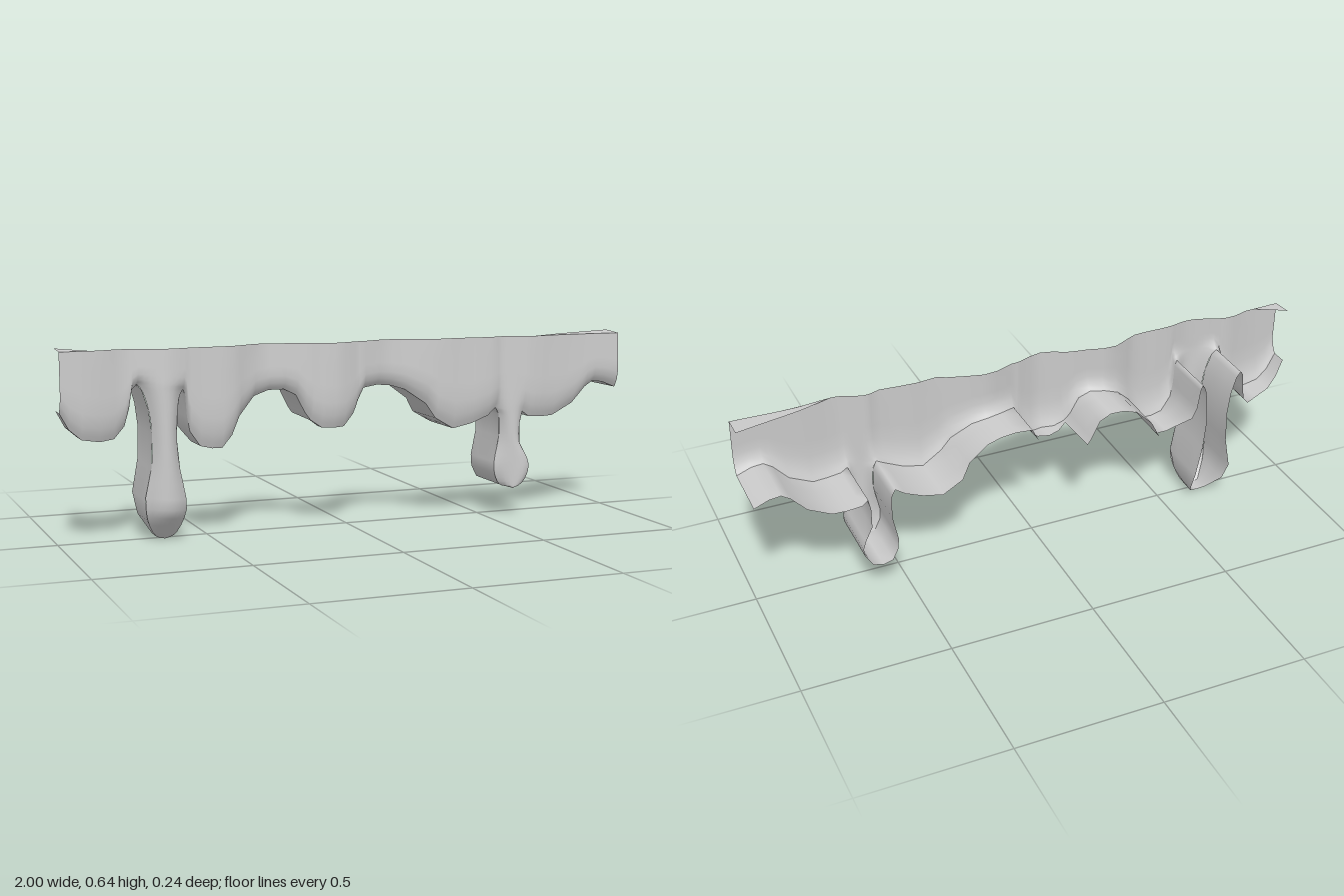
import * as THREE from 'three';
import { mergeGeometries, mergeVertices } from 'three/addons/utils/BufferGeometryUtils.js';

const TOP = 0.635;
// lower outline [x, y], split at the two hanging drips
const lobeA = [[-1, .44], [-.97, .385], [-.93, .35], [-.87, .34], [-.82, .345], [-.785, .385],
  [-.77, .44], [-.762, .5], [-.745, .52]];
const dripA = [[-.745, .52], [-.73, .5], [-.712, .44], [-.702, .36], [-.705, .25], [-.725, .14], [-.715, .07], [-.68, .01], [-.65, 0],
  [-.62, .01], [-.597, .06], [-.59, .13], [-.612, .24], [-.622, .34], [-.617, .44], [-.61, .48], [-.598, .5]];
const lobesB = [[-.598, .5], [-.59, .48], [-.585, .41], [-.575, .36], [-.54, .31], [-.5, .3], [-.465, .3], [-.43, .34], [-.4, .4],
  [-.34, .46], [-.29, .478], [-.24, .48], [-.2, .46], [-.17, .4], [-.155, .378], [-.15, .372], [-.12, .35], [-.08, .348],
  [-.04, .35], [0, .39], [.012, .415], [.017, .43], [.04, .475], [.1, .48], [.15, .475], [.2, .46], [.27, .41], [.3, .36],
  [.37, .32], [.44, .335], [.5, .36], [.535, .385]];
const dripB = [[.535, .385], [.548, .36], [.55, .28], [.532, .19], [.535, .15], [.555, .11], [.59, .1],
  [.625, .11], [.65, .15], [.654, .18], [.645, .21], [.62, .26], [.62, .33], [.628, .37]];
const lobeC = [[.628, .37], [.65, .352], [.7, .348], [.75, .35], [.83, .39], [.88, .445], [.91, .465], [.95, .46], [1, .44]];

// depth of the front skin and of the rear edge along x
const front = [[-1, .1], [-.88, .095], [-.8, .075], [-.65, .115], [-.55, .1], [-.45, .1], [-.32, .05], [-.2, .075], [-.08, .115],
  [.03, .085], [.13, .053], [.22, .07], [.32, .108], [.4, .09], [.48, .108], [.55, .09], [.65, .12], [.8, .105], [1, .11]];
const rear = [[-1, .02], [-.85, -.03], [-.745, -.11], [-.59, -.11], [-.54, -.04], [-.45, -.04], [-.43, -.12], [-.155, -.12],
  [-.15, .05], [-.08, .03], [.012, .05], [.017, -.1], [.25, -.1], [.3, -.12], [1, -.12]];

function lookup(table, x, smooth) {
  for (let i = 1; i < table.length; i++) {
    const [x0, v0] = table[i - 1], [x1, v1] = table[i];
    if (x <= x1) {
      let t = Math.max(0, (x - x0) / (x1 - x0));
      if (smooth) t = t * t * (3 - 2 * t);
      return v0 + (v1 - v0) * t;
    }
  }
  return table[table.length - 1][1];
}
// long drip narrows in depth towards its tip
const taper = (x, y) => (x < 0 ? Math.min(1, .2 + y / .1 * .8) : 1);
const skinZ = (x, y) => lookup(front, x, true) * taper(x, y);
const edgeZ = (x, y) => (lookup(front, x, true) - .025) * taper(x, y);
const rearZ = (x, y) => lookup(rear, x) * taper(x, y);

// surface through rows of points
function loft(rows) {
  const n = rows[0].length, idx = [];
  for (let r = 0; r < rows.length - 1; r++) for (let c = 0; c < n - 1; c++) {
    const a = r * n + c, b = a + 1, d = a + n, e = d + 1;
    idx.push(a, b, e, a, e, d);
  }
  const g = new THREE.BufferGeometry();
  g.setAttribute('position', new THREE.Float32BufferAttribute(rows.flat(2), 3));
  g.setIndex(idx);
  return g;
}

// rounded cross-section of a drip between two outline points
const COLS = 8;
function section([x0, y0], [x1, y1]) {
  return Array.from({ length: COLS + 1 }, (_, j) => {
    const s = j / COLS, x = x0 + (x1 - x0) * s, y = y0 + (y1 - y0) * s;
    const round = Math.pow(Math.abs(2 * s - 1), 2.5);
    return [x, y, skinZ(x, y) + (edgeZ(x, y) - skinZ(x, y)) * round];
  });
}

// skin of a hanging drip: matching points down its two sides
function dripSkin(outline) {
  let tip = 0;
  outline.forEach((p, i) => { if (p[1] < outline[tip][1]) tip = i; });
  const side = (pts) => new THREE.CatmullRomCurve3(pts.map(([x, y]) => new THREE.Vector3(x, y, 0)));
  const left = side(outline.slice(0, tip + 1)), right = side(outline.slice(tip).reverse());
  const rows = [];
  for (let i = 0; i <= 18; i++) {
    const a = left.getPoint(i / 18), b = right.getPoint(i / 18);
    rows.unshift(section([a.x, a.y], [b.x, b.y]));
  }
  return loft(rows);
}

export function createModel() {
  const group = new THREE.Group();
  const material = new THREE.MeshStandardMaterial({ color: 0xcccccc, side: THREE.DoubleSide });
  const add = (name, geo) => {
    geo.computeVertexNormals();
    const mesh = new THREE.Mesh(geo, material);
    mesh.name = name;
    group.add(mesh);
  };

  // front skin: columns rise from the outline (drips cut off at the neck) to the top edge
  const edge = (p) => [p[0], p[1], edgeZ(p[0], p[1])];
  const neck = (d) => section(d[0], d[d.length - 1]).slice(1, -1);
  const base = [...lobeA.map(edge), ...neck(dripA), ...lobesB.map(edge), ...neck(dripB), ...lobeC.map(edge)];
  const rows = [0, .06, .15, .3, .5, .75, 1].map((t) => base.map(([x, y, z]) => {
    const full = lookup(front, x, true) - .006 * t;
    const k = Math.min(1, t / .3);
    return [x, y + (TOP - y) * t, z + (full - z) * Math.sin(k * Math.PI / 2)];
  }));
  const skin = [loft(rows), dripSkin(dripA), dripSkin(dripB)];
  add('frontSkin', mergeVertices(mergeGeometries(skin), 1e-4));

  // underside: the whole outline swept back to the rear edge
  const outline = [...lobeA, ...dripA.slice(1), ...lobesB.slice(1), ...dripB.slice(1), ...lobeC.slice(1)];
  const under = [0, .33, .67, 1].map((t) => outline.map(([x, y]) => {
    const z = edgeZ(x, y);
    return [x, y, z + (rearZ(x, y) - z) * t];
  }));
  add('underside', loft(under.reverse()));

  // small tapering lips folded back from the top corners
  const lip = (x0, x1, z1) => loft([0, 1].map((t) => Array.from({ length: 7 }, (_, i) => {
    const s = i / 6, x = x0 + (x1 - x0) * s, z = lookup(front, x, true) - .006;
    return [x, TOP + .005 * t * s, z + (z1 - z) * t * s];
  })));
  add('leftTopLip', lip(.66, 1, .02));
  add('rightTopLip', lip(-.9, -1, .02));
  return group;
}
